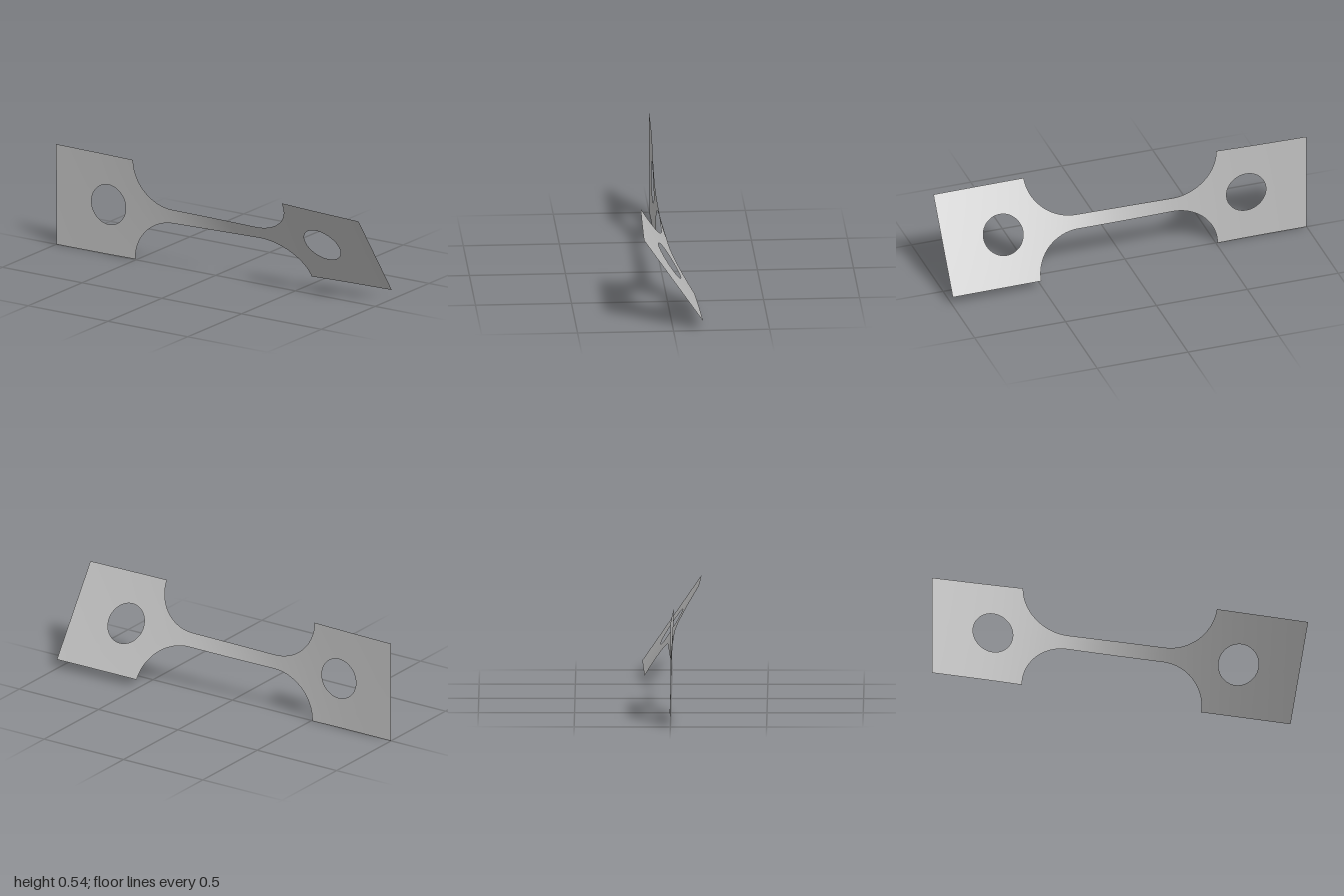
import * as THREE from 'three';
import { mergeVertices } from 'three/addons/utils/BufferGeometryUtils.js';

const HALF = 0.272, NECK = 0.038;       // half heights of grips and neck
const GRIP_X = 0.508, ARC_X = 0.262;    // where the fillets end and start
const HOLE_X = 0.669, HOLE_R = 0.108;

// smooth curves along x: twist in degrees, centre line height and depth
const curve = (pts) => {
  const c = new THREE.SplineCurve(pts.map(([x, y]) => new THREE.Vector2(x, y)));
  const samples = c.getPoints(400);
  return (x) => {
    let i = 1;
    while (i < samples.length - 1 && samples[i].x < x) i++;
    const a = samples[i - 1], b = samples[i];
    return a.y + (b.y - a.y) * THREE.MathUtils.clamp((x - a.x) / (b.x - a.x), 0, 1);
  };
};
const twist = curve([[-1, 0.1], [-0.7, 1.0], [-0.5, 2.4], [-0.4, 3.6], [-0.25, 6.5], [0, 16.5],
  [0.25, 26.5], [0.4, 29.6], [0.5, 30.8], [0.7, 32.6], [1, 34.5]]);
const centreY = curve([[-1, 0.272], [-0.5, 0.273], [0, 0.276], [0.5, 0.278], [1, 0.275]]);
const centreZ = curve([[-1, 0], [-0.5, 0.005], [0, 0.001], [0.5, 0], [1, 0]]);

// x positions from a to b, bunched near the ends when eased
function steps(a, b, n, eased) {
  return Array.from({ length: n + 1 }, (_, i) => {
    const t = i / n;
    return a + (b - a) * (eased ? (1 - Math.cos(Math.PI * t)) / 2 : t);
  });
}

// outline half height and hole half height
function outer(x) {
  const d = (Math.abs(x) - ARC_X) / (GRIP_X - ARC_X);
  if (d <= 0) return NECK;
  if (d >= 1) return HALF;
  return HALF - (HALF - NECK) * Math.sqrt(1 - d * d);
}
function inner(x) {
  const d = Math.abs(x) - HOLE_X;
  return Math.sqrt(Math.max(0, HOLE_R * HOLE_R - d * d));
}

// twisted sheet above and below the centre line over the given columns
function sheet(xs, rows = 10) {
  const pos = [], index = [];
  for (const side of [1, -1]) {
    const base = pos.length / 3;
    xs.forEach((x) => {
      const a = THREE.MathUtils.degToRad(twist(x)), lo = inner(x), hi = outer(x);
      for (let j = 0; j <= rows; j++) {
        const v = side * (lo + (hi - lo) * j / rows);
        pos.push(x, centreY(x) + v * Math.cos(a), centreZ(x) + v * Math.sin(a));
      }
    });
    for (let i = 0; i < xs.length - 1; i++) {
      for (let j = 0; j < rows; j++) {
        const p = base + i * (rows + 1) + j, q = p + rows + 1;
        if (side > 0) index.push(p, q, q + 1, p, q + 1, p + 1);
        else index.push(p, q + 1, q, p, p + 1, q + 1);
      }
    }
  }
  const g = new THREE.BufferGeometry();
  g.setAttribute('position', new THREE.Float32BufferAttribute(pos, 3));
  g.setIndex(index);
  const merged = mergeVertices(g, 1e-5);
  merged.computeVertexNormals();
  return merged;
}

export function createModel() {
  const group = new THREE.Group();
  const metal = new THREE.MeshStandardMaterial({ color: 0xbfbfbf, side: THREE.DoubleSide });
  metal.name = 'grey metal';
  const add = (name, xs) => {
    const mesh = new THREE.Mesh(sheet(xs), metal);
    mesh.name = name;
    group.add(mesh);
  };

  // square grips with a round hole
  const grip = [
    ...steps(GRIP_X, HOLE_X - HOLE_R, 4),
    ...steps(HOLE_X - HOLE_R, HOLE_X + HOLE_R, 36, true).slice(1),
    ...steps(HOLE_X + HOLE_R, 1, 8).slice(1),
  ];
  add('leftGrip', grip);
  add('rightGrip', grip.map((x) => -x).reverse());

  // narrow neck flaring into the grips along round fillets
  const flare = Array.from({ length: 25 }, (_, i) =>
    ARC_X + (GRIP_X - ARC_X) * Math.sin(Math.PI / 2 * i / 24));
  add('twistedNeck', [
    ...flare.map((x) => -x).reverse(),
    ...steps(-ARC_X, ARC_X, 30).slice(1, -1),
    ...flare,
  ]);
  return group;
}
